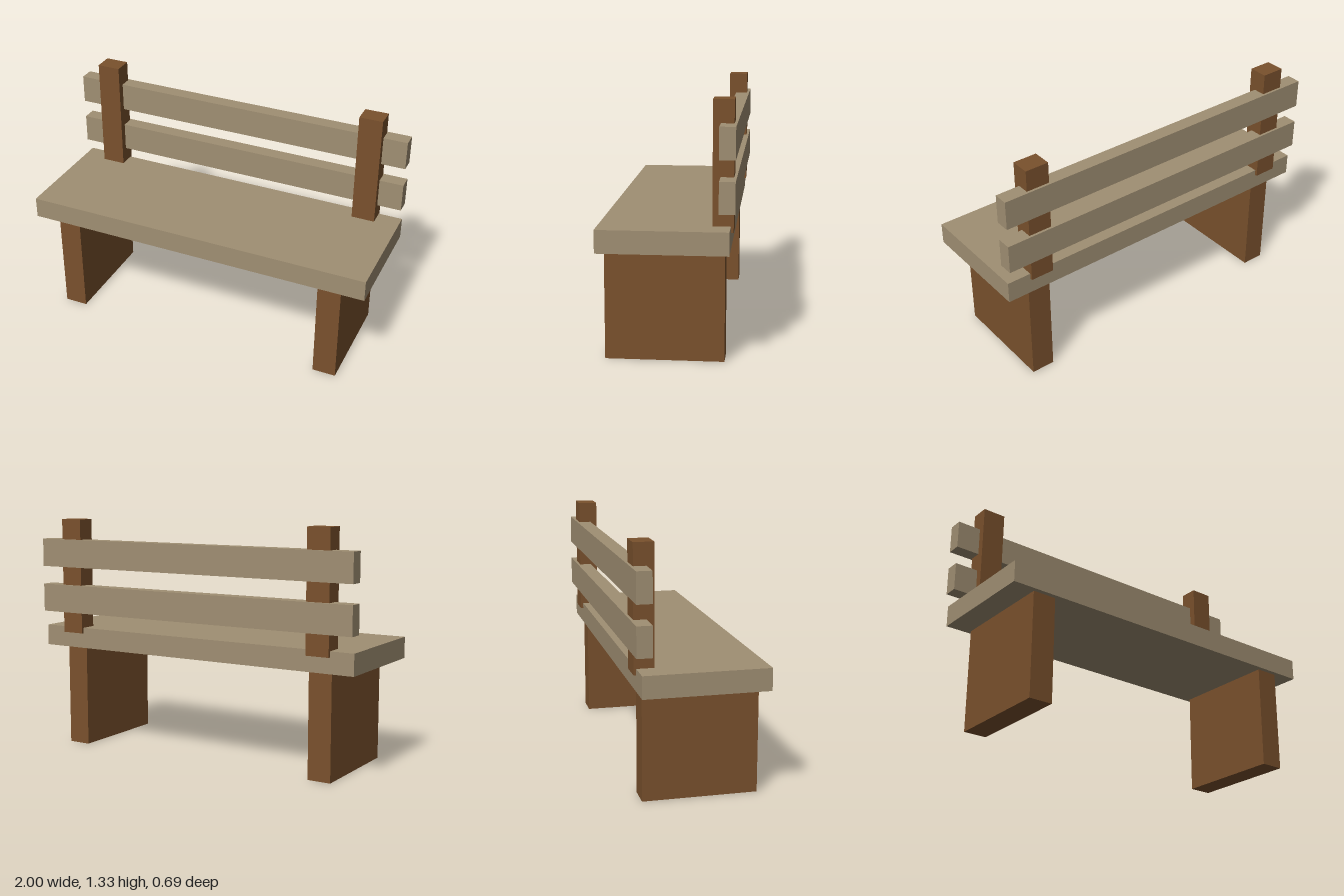
import * as THREE from 'three';

const paleWood = new THREE.MeshStandardMaterial({ color: 0xa08f73 });
const darkWood = new THREE.MeshStandardMaterial({ color: 0x7a512d });

// Box given by its extents along each axis
function plank(name, material, [x0, x1], [y0, y1], [z0, z1]) {
  const mesh = new THREE.Mesh(new THREE.BoxGeometry(x1 - x0, y1 - y0, z1 - z0), material);
  mesh.position.set((x0 + x1) / 2, (y0 + y1) / 2, (z0 + z1) / 2);
  mesh.name = name;
  return mesh;
}

export function createModel() {
  const bench = new THREE.Group();
  bench.name = 'bench';

  // Seat board
  bench.add(plank('seat', paleWood, [-1, 1], [0.583, 0.702], [-0.318, 0.346]));

  // Backrest slats, let into the rear of the posts
  bench.add(plank('lowerBackSlat', paleWood, [-1, 1], [0.789, 0.95], [-0.346, -0.265]));
  bench.add(plank('upperBackSlat', paleWood, [-1, 1], [1.055, 1.216], [-0.346, -0.265]));

  // Slab leg and back post on each side
  for (const [side, s] of [['left', 1], ['right', -1]]) {
    const span = [s * 0.798 - 0.066, s * 0.798 + 0.066];
    bench.add(plank(side + 'Leg', darkWood, span, [0, 0.583], [-0.291, 0.32]));
    bench.add(plank(side + 'BackPost', darkWood, span, [0.67, 1.333], [-0.332, -0.226]));
  }

  return bench;
}
